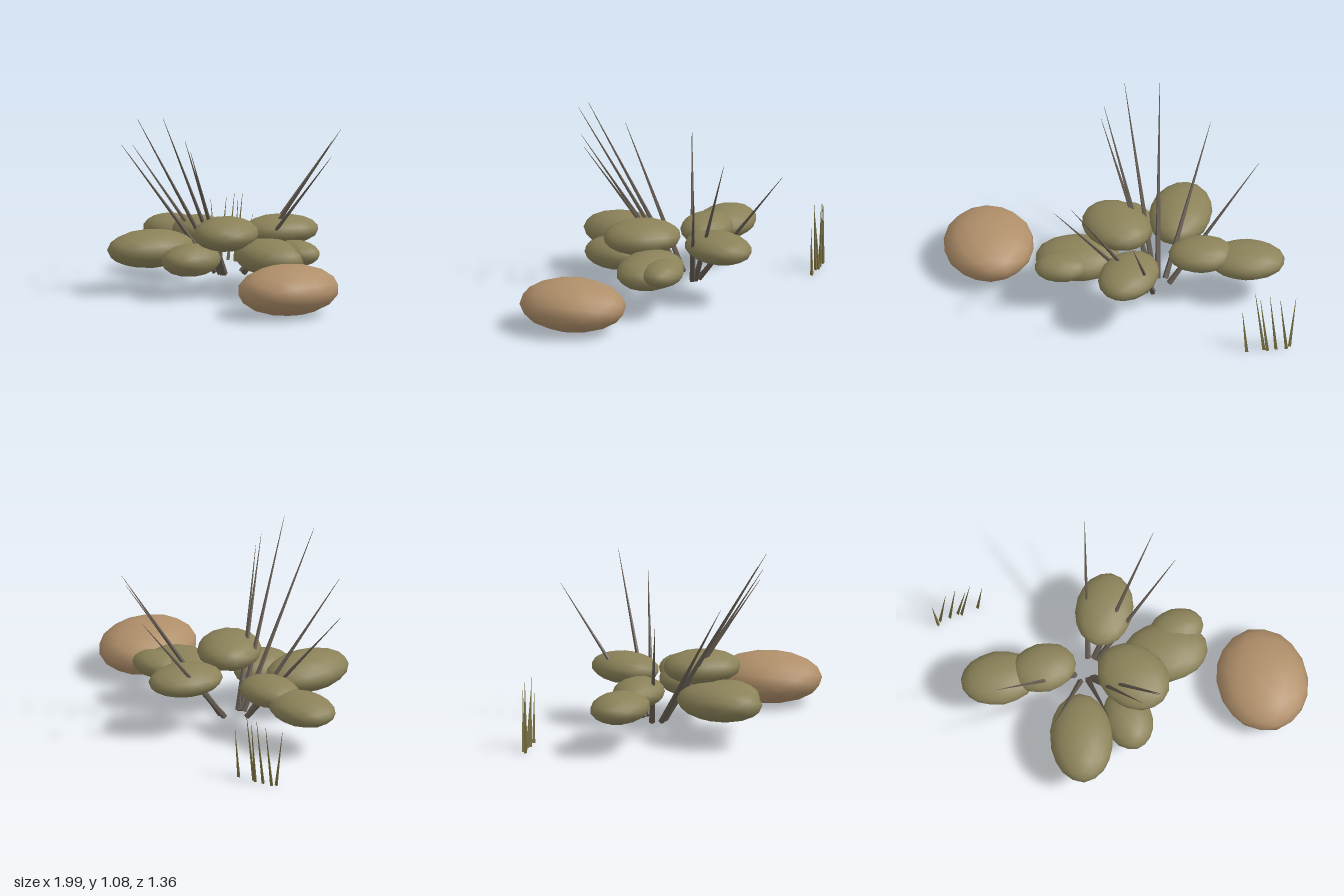
import * as THREE from 'three';
import { mergeVertices } from 'three/addons/utils/BufferGeometryUtils.js';

const material = (name, color, side = THREE.FrontSide) => {
  const m = new THREE.MeshStandardMaterial({ color, side });
  m.name = name;
  return m;
};

// Faceted outline, smooth shading: a squashed and turned icosphere
function blobGeometry([rx, ry, rz], yaw = 0) {
  let g = new THREE.IcosahedronGeometry(1.01, 2);
  g.deleteAttribute('uv');
  g.deleteAttribute('normal');
  g = mergeVertices(g, 1e-4);
  g.scale(rx, ry, rz);
  g.rotateY(yaw);
  g.computeVertexNormals();
  return g;
}

// Straight spike running from base to a sharp tip
function spike(from, to, radius, sides, mat, name) {
  const a = new THREE.Vector3(...from);
  const b = new THREE.Vector3(...to);
  const dir = b.clone().sub(a);
  const g = new THREE.CylinderGeometry(0.0008, radius, dir.length(), sides).toNonIndexed();
  g.computeVertexNormals();
  const mesh = new THREE.Mesh(g, mat);
  mesh.position.copy(a).add(b).multiplyScalar(0.5);
  mesh.quaternion.setFromUnitVectors(new THREE.Vector3(0, 1, 0), dir.normalize());
  mesh.name = name;
  return mesh;
}

export function createModel() {
  const leaf = material('olive foliage', 0x8b8259);
  const bark = material('grey brown bark', 0x655c52);
  const stone = material('tan stone', 0xb08f6a);
  const straw = material('dry grass', 0x7f7648);

  const model = new THREE.Group();
  model.name = 'desertShrub';

  // Foliage clumps: centre, half sizes, yaw
  const foliage = new THREE.Group();
  foliage.name = 'foliage';
  [
    [[-0.735, 0.26, -0.065], [0.22, 0.09, 0.16], -0.1],
    [[-0.475, 0.295, -0.045], [0.19, 0.085, 0.145], 0],
    [[-0.375, 0.25, 0.415], [0.18, 0.11, 0.268], -0.22],
    [[-0.08, 0.215, 0.36], [0.14, 0.095, 0.19], 0],
    [[0.005, 0.358, 0.17], [0.185, 0.098, 0.225], 0.6],
    [[0.235, 0.238, 0.03], [0.245, 0.103, 0.182], -0.1],
    [[0.335, 0.262, -0.085], [0.156, 0.074, 0.115], 0],
    [[-0.043, 0.328, -0.283], [0.165, 0.088, 0.222], -0.45],
  ].forEach(([centre, size, yaw]) => {
    const clump = new THREE.Mesh(blobGeometry(size, yaw), leaf);
    clump.position.set(...centre);
    clump.name = 'foliageClump';
    foliage.add(clump);
  });
  model.add(foliage);

  // Branches fanning out of the root: base, tip
  const branches = new THREE.Group();
  branches.name = 'branches';
  [
    [[-0.29, 0.08, -0.03], [-0.82, 0.77, 0.18]],
    [[-0.27, 0.08, 0.02], [-0.555, 0.845, 0.49]],
    [[-0.225, 0.08, 0.02], [-0.265, 1.045, 0.61]],
    [[-0.205, 0.08, 0.02], [-0.06, 1.075, 0.59]],
    [[-0.19, 0.08, -0.11], [-0.05, 0.8, -0.68]],
    [[-0.19, 0.08, 0.015], [0.06, 0.95, 0.525]],
    [[-0.2, 0.08, 0.015], [0.08, 0.885, 0.5]],
    [[-0.155, 0.08, -0.1], [0.3, 0.94, -0.45]],
    [[-0.14, 0.08, -0.085], [0.39, 0.805, -0.3]],
  ].forEach(([a, b]) => branches.add(spike(a, b, 0.018, 5, bark, 'branch')));
  model.add(branches);

  // Boulder
  const boulder = new THREE.Mesh(blobGeometry([0.26, 0.146, 0.312]), stone);
  boulder.position.set(0.737, 0.146, 0.315);
  boulder.name = 'boulder';
  model.add(boulder);

  // Grass tuft: base x, z then tip x, y, z
  const grass = new THREE.Group();
  grass.name = 'grassTuft';
  [
    [-0.958, -0.565, -0.998, 0.34, -0.56],
    [-0.94, -0.585, -0.905, 0.36, -0.6],
    [-0.88, -0.59, -0.845, 0.39, -0.61],
    [-0.83, -0.6, -0.79, 0.36, -0.59],
    [-0.81, -0.59, -0.76, 0.41, -0.6],
    [-0.71, -0.605, -0.685, 0.29, -0.61],
  ].forEach(([x, z, tx, ty, tz]) =>
    grass.add(spike([x, 0, z], [tx, ty, tz], 0.011, 3, straw, 'grassBlade')));
  model.add(grass);

  return model;
}
